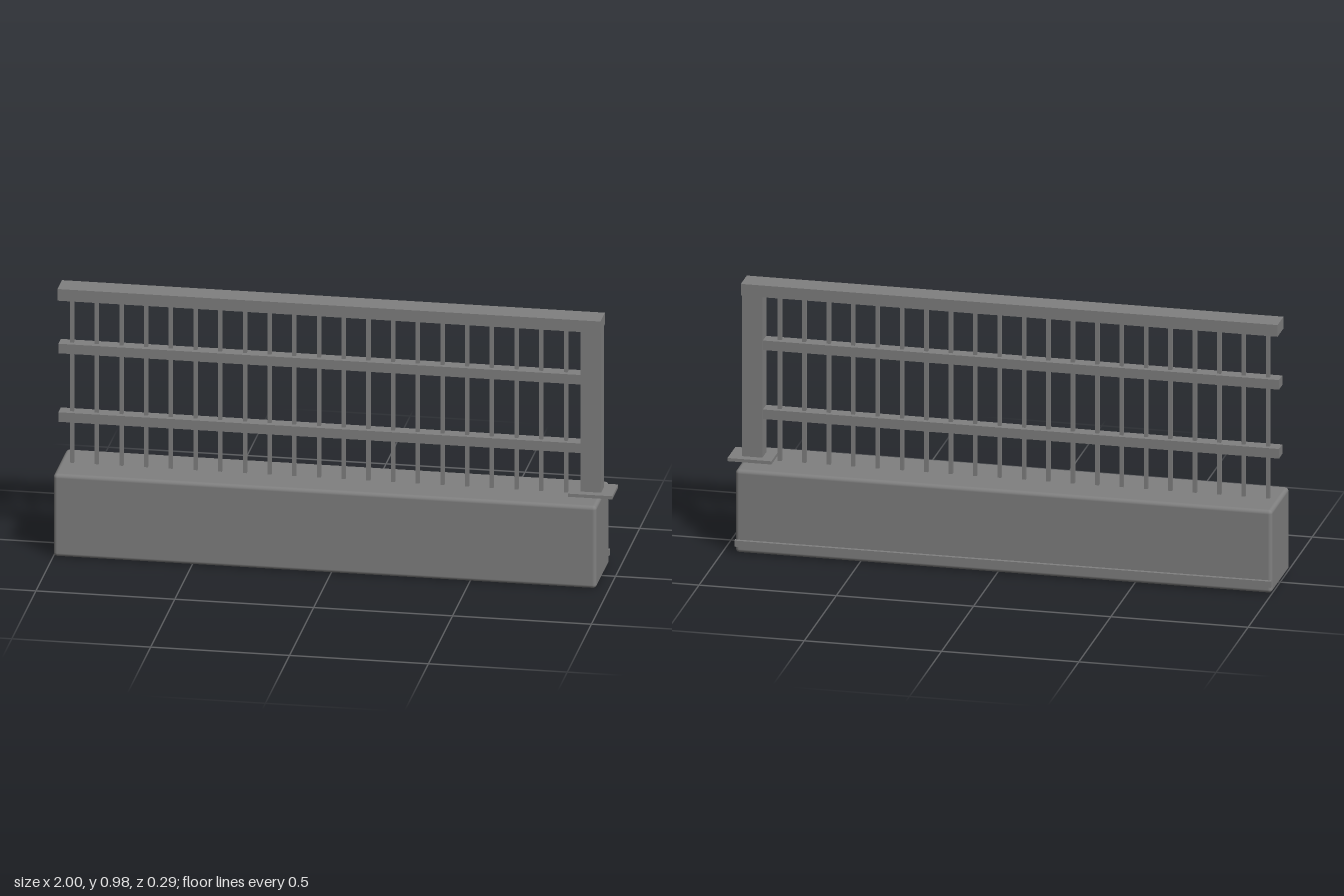
import * as THREE from 'three';
import { RoundedBoxGeometry } from 'three/addons/geometries/RoundedBoxGeometry.js';

const grey = new THREE.MeshStandardMaterial({ color: 0x808080 });
grey.name = 'concrete grey';

export function createModel() {
  const model = new THREE.Group();
  model.name = 'railingOnWall';

  // Box given by its limits on each axis, optionally with rounded edges
  function block(name, [x0, x1], [y0, y1], [z0, z1], radius = 0) {
    const size = [x1 - x0, y1 - y0, z1 - z0];
    const geometry = radius
      ? new RoundedBoxGeometry(...size, 4, radius)
      : new THREE.BoxGeometry(...size);
    const mesh = new THREE.Mesh(geometry, grey);
    mesh.name = name;
    mesh.position.set((x0 + x1) / 2, (y0 + y1) / 2, (z0 + z1) / 2);
    model.add(mesh);
  }

  const left = -1, end = 0.955, postStart = 0.88;
  const wallTop = 0.313, railBottom = 0.937;

  // Low wall with softened edges, and the thin strip along its back
  block('wall', [left, end], [0.002, wallTop], [-0.13, 0.143], 0.014);
  block('backStrip', [left, end], [0.029, 0.052], [-0.143, -0.128]);

  // End post on its base plate
  block('post', [postStart, end], [0.308, railBottom], [-0.025, 0.039]);
  block('basePlate', [0.84, 1], [0.317, 0.329], [-0.056, 0.068]);

  // Handrail and the two lower rails
  block('handrail', [left, end], [railBottom, 0.981], [-0.04, 0.053]);
  for (const y of [0.472, 0.731]) {
    block('lowerRail', [left, postStart], [y, y + 0.036], [-0.018, 0.033]);
  }

  // Evenly spaced upright bars
  const bars = 21, half = 0.007, barZ = 0.007;
  for (let i = 0; i < bars; i++) {
    const x = -0.955 + i * 0.0889;
    block('bar', [x - half, x + half], [wallTop - 0.005, railBottom], [barZ - half, barZ + half]);
  }
  return model;
}
